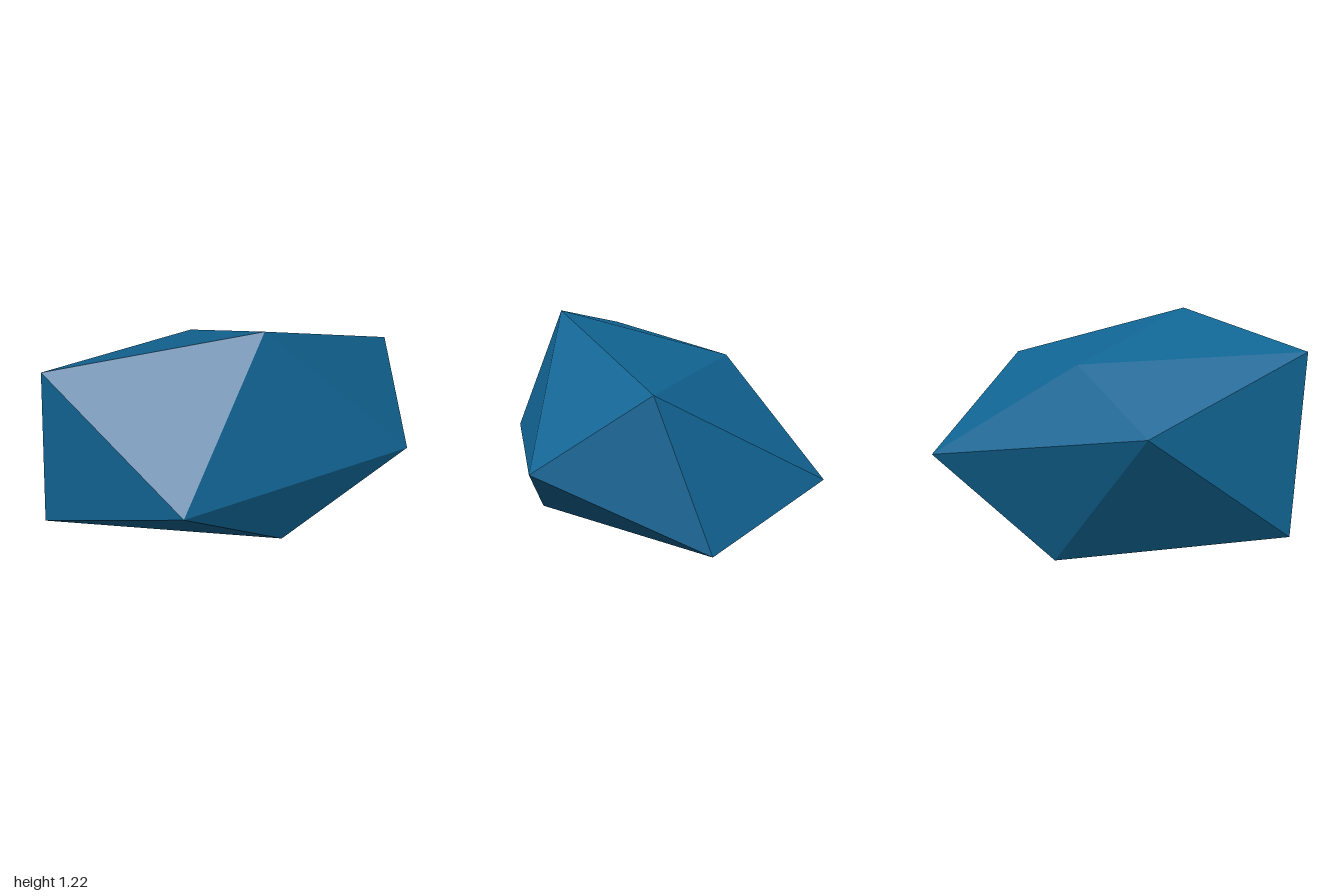
import * as THREE from 'three';

// Faceted rock: an irregular icosahedron made of two caps joined by a zigzag band
export function createModel() {
  const blue = new THREE.MeshStandardMaterial({ color: 0x116594 });
  blue.name = 'deep blue';

  const peak = [-0.09, 1.22, 0.45];
  const foot = [0.1, 0, -0.41];
  // Both rings run the same way round; lower[i] sits between upper[i] and upper[i + 1]
  const upper = [
    [-0.99, 1.065, 0.06], [-0.61, 0.53, 0.67], [0.61, 0.575, 0.65],
    [0.84, 0.955, 0.14], [-0.04, 0.985, -0.39],
  ];
  const lower = [
    [-1, 0.25, -0.08], [-0.05, 0.215, 0.57], [1, 0.3, -0.08],
    [0.68, 0.51, -0.67], [-0.59, 0.725, -0.6],
  ];

  const corners = [];
  for (let i = 0; i < 5; i++) {
    const j = (i + 1) % 5;
    corners.push(
      peak, upper[i], upper[j],     // top cap
      upper[j], upper[i], lower[i], // band, pointing down
      lower[i], lower[j], upper[j], // band, pointing up
      foot, lower[j], lower[i],     // bottom cap
    );
  }

  // Unshared corners keep every facet flat
  const geometry = new THREE.BufferGeometry();
  geometry.setAttribute('position', new THREE.Float32BufferAttribute(corners.flat(), 3));
  geometry.computeVertexNormals();

  const rock = new THREE.Mesh(geometry, blue);
  rock.name = 'rock';
  const group = new THREE.Group();
  group.name = 'facetedRock';
  group.add(rock);
  return group;
}
